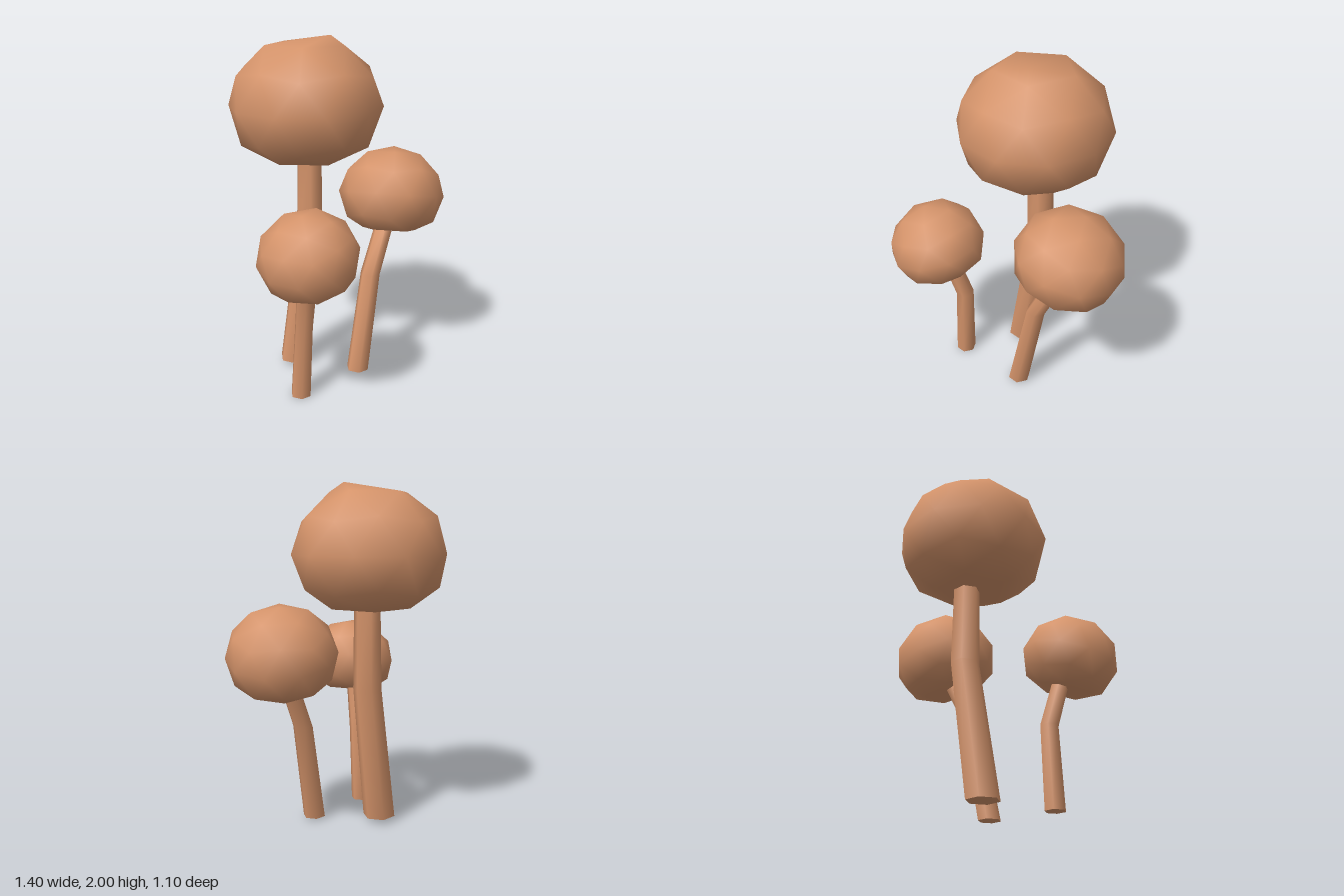
import * as THREE from 'three';
import { mergeVertices, toCreasedNormals } from 'three/addons/utils/BufferGeometryUtils.js';

const clay = new THREE.MeshStandardMaterial({ color: 0xd4936a });
clay.name = 'clay brown';

// Keep positions only and weld shared corners
function weld(geo) {
  geo.deleteAttribute('uv');
  geo.deleteAttribute('normal');
  return mergeVertices(geo, 1e-4);
}

// Low-poly ball, squashed, with a flattened underside
function makeCap({ centre, radius, spin = 0, tilt = [0, 0], peak }) {
  const ball = new THREE.IcosahedronGeometry(1, 1);
  ball.rotateZ(-Math.atan(2 / (1 + Math.sqrt(5)))); // one corner straight up
  ball.rotateY(spin);
  const geo = weld(ball);
  const p = geo.attributes.position;
  for (let i = 0; i < p.count; i++) {
    const y = p.getY(i);
    if (y > 0.99 && peak) p.setXYZ(i, ...peak);
    else p.setY(i, Math.max(y * 0.91, -0.68));
  }
  geo.scale(radius, radius, radius);
  geo.computeVertexNormals();
  const mesh = new THREE.Mesh(geo, clay);
  mesh.name = 'cap';
  mesh.position.set(...centre);
  mesh.rotation.set(tilt[0], 0, tilt[1]);
  return mesh;
}

// Six-sided stem through three stations [x, y, z, radius], bottom to top
function makeStem(stations) {
  const geo = weld(new THREE.CylinderGeometry(1, 1, 2, 6, 2, false, Math.PI / 12));
  const p = geo.attributes.position;
  for (let i = 0; i < p.count; i++) {
    const [x, y, z, r] = stations[Math.round(p.getY(i)) + 1];
    p.setXYZ(i, x + p.getX(i) * r, y, z + p.getZ(i) * r);
  }
  const mesh = new THREE.Mesh(toCreasedNormals(geo, 1.25), clay);
  mesh.name = 'stem';
  return mesh;
}

const mushrooms = [
  {
    name: 'tallMushroom',
    cap: { centre: [0.01, 1.6, -0.107], radius: 0.445, peak: [0.09, 0.9, 0.33] },
    stem: [[-0.073, 0.03, -0.13, 0.096], [0.05, 0.83, -0.115, 0.084], [0.045, 1.4, -0.11, 0.076]],
  },
  {
    name: 'leftMushroom',
    cap: { centre: [0.398, 1.05, 0.235], radius: 0.315, tilt: [-0.12, -0.24] },
    stem: [[0.085, 0.01, 0.233, 0.067], [0.2, 0.6, 0.233, 0.06], [0.36, 0.92, 0.232, 0.056]],
  },
  {
    name: 'rightMushroom',
    cap: { centre: [-0.43, 0.9, 0.275], radius: 0.28, spin: 0.2, tilt: [0.06, 0.26] },
    stem: [[-0.353, 0, 0.152, 0.06], [-0.333, 0.48, 0.163, 0.054], [-0.4, 0.8, 0.23, 0.05]],
  },
];

export function createModel() {
  const model = new THREE.Group();
  model.name = 'mushroomCluster';
  for (const { name, cap, stem } of mushrooms) {
    const group = new THREE.Group();
    group.name = name;
    group.add(makeCap(cap), makeStem(stem));
    model.add(group);
  }
  return model;
}
